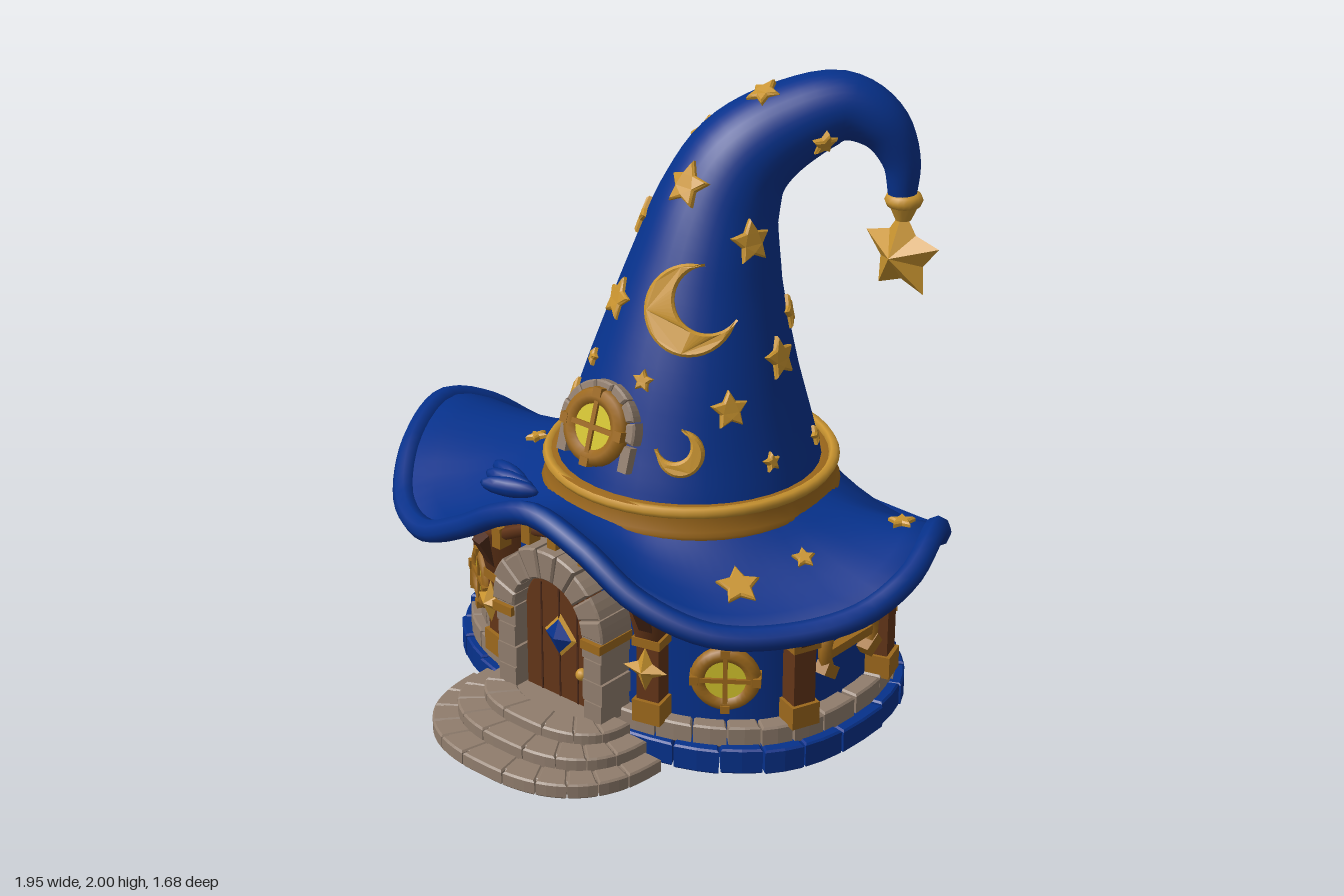
import * as THREE from 'three';

const mat = (name, color) => Object.assign(new THREE.MeshStandardMaterial({ color }), { name });
const M = {
  blue: mat('royal blue', 0x06318b), gold: mat('gold', 0xc8932f), bronze: mat('bronze', 0x9c681c),
  stone: mat('stone', 0x907d6d), wood: mat('wood', 0x633518), darkWood: mat('dark wood', 0x4c2918),
  glass: mat('yellow glass', 0xd2c22c), floor: mat('dark floor', 0x4c5059),
};
const V = (x, y, z) => new THREE.Vector3(x, y, z);
const D = Math.PI / 180;
let seed = 7;
const rnd = () => (seed = (seed * 16807) % 2147483647) / 2147483647;
const pow = (v, q) => Math.sign(v) * Math.abs(v) ** q;
const Q = 0.8; // squareness of the rounded ground plan

function add(parent, name, geo, material, x = 0, y = 0, z = 0) {
  const m = new THREE.Mesh(geo, material);
  m.name = name;
  m.position.set(x, y, z);
  parent.add(m);
  return m;
}
function group(parent, name) {
  const g = new THREE.Group();
  g.name = name;
  parent.add(g);
  return g;
}
const box = (w, h, d) => new THREE.BoxGeometry(w, h, d);

// Smooth skin over rows of points; every row is a closed ring
function loft(rows) {
  const n = rows[0].length, idx = [];
  for (let i = 0; i < rows.length - 1; i++) for (let j = 0; j < n; j++) {
    const k = (j + 1) % n, a = i * n + j, b = i * n + k;
    idx.push(a, b, a + n, b, b + n, a + n);
  }
  const g = new THREE.BufferGeometry().setFromPoints(rows.flat());
  g.setIndex(idx);
  g.computeVertexNormals();
  return g;
}
function extrude(shape, depth, bevel = 0.006) {
  return new THREE.ExtrudeGeometry(shape, { depth: depth - 2 * bevel, bevelSize: bevel, bevelThickness: bevel,
    bevelOffset: -bevel, bevelSegments: 1, curveSegments: 14 }).translate(0, 0, bevel);
}
// Piece of an elliptical ring in the XY plane
function sector(a0, a1, rx0, ry0, rx1, ry1, cx = 0, cy = 0, q = 1) {
  const out = [], inn = [], n = Math.max(2, Math.ceil((a1 - a0) / 0.12));
  for (let i = 0; i <= n; i++) {
    const a = a0 + (a1 - a0) * i / n, c = pow(Math.cos(a), q), s = pow(Math.sin(a), q);
    out.push(new THREE.Vector2(cx + rx1 * c, cy + ry1 * s));
    inn.unshift(new THREE.Vector2(cx + rx0 * c, cy + ry0 * s));
  }
  return new THREE.Shape([...out, ...inn]);
}
// The same piece lying flat; angles count from the front towards +x
const flatSector = (p0, p1, rx0, rz0, rx1, rz1, y, h, cx, cz) =>
  extrude(sector(p0 - Math.PI / 2, p1 - Math.PI / 2, rx0, rz0, rx1, rz1, cx, -cz, Q), h).rotateX(-Math.PI / 2).translate(0, y, 0);

function starOutline(n, R, r) {
  return Array.from({ length: 2 * n }, (_, i) => {
    const a = Math.PI / 2 + i * Math.PI / n, q = i % 2 ? r : R;
    return new THREE.Vector2(q * Math.cos(a), q * Math.sin(a));
  });
}
const flatStar = R => extrude(new THREE.Shape(starOutline(5, R, R * 0.54)), 0.036).translate(0, 0, -0.02);
function facetStar(n, R, r, h) {
  const o = starOutline(n, R, r), pts = [];
  o.forEach((p, i) => {
    const q = o[(i + 1) % o.length];
    pts.push(V(0, 0, h), V(p.x, p.y, 0), V(q.x, q.y, 0), V(0, 0, -h), V(q.x, q.y, 0), V(p.x, p.y, 0));
  });
  const g = new THREE.BufferGeometry().setFromPoints(pts);
  g.computeVertexNormals();
  return g;
}
function crescent(R, turn) {
  const s = new THREE.Shape(), a = 40.5 * D, b = 64.5 * D;
  s.absarc(0, 0, R, a, 2 * Math.PI - a, false);
  s.absarc(0.45 * R, 0, 0.72 * R, 2 * Math.PI - b, b, true);
  return extrude(s, 0.045, 0.008).rotateZ(turn).translate(0, 0, -0.018);
}
function bend(geo, R) {
  const p = geo.attributes.position;
  for (let i = 0; i < p.count; i++) p.setZ(i, p.getZ(i) - p.getX(i) ** 2 / (2 * R));
  geo.computeVertexNormals();
  return geo;
}
// Lays a decoration on a surface where a ray meets it
function stick(parent, name, geo, target, origin, dir) {
  const hit = new THREE.Raycaster(origin, dir).intersectObject(target)[0];
  if (!hit) return;
  const m = add(parent, name, geo, M.gold);
  m.position.copy(hit.point);
  m.lookAt(hit.point.clone().add(hit.face.normal));
}

// Brim edge and height rule
const C = V(0.06, 0, -0.08), R0 = 0.43;
const edge = new THREE.CatmullRomCurve3([
  [0, .78, .565], [.2, .73, .565], [.4, .62, .545], [.6, .54, .45], [.77, .53, .28], [.895, .57, .1], [.935, .64, -.07],
  [.87, .69, -.29], [.75, .56, -.48], [.57, .45, -.65], [.3, .39, -.755], [0, .37, -.805], [-.34, .37, -.735], [-.58, .385, -.59],
  [-.81, .5, -.33], [-.9, .63, -.16], [-.935, .69, 0], [-.85, .65, .24], [-.68, .56, .45], [-.5, .55, .54], [-.3, .64, .565],
  [-.15, .73, .567]].map(p => V(...p)), true);
const rim = edge.getPoints(500);
const angleOf = (x, z) => Math.atan2(x - C.x, z - C.z);
function rimAt(phi) {
  const off = p => Math.abs(Math.atan2(Math.sin(angleOf(p.x, p.z) - phi), Math.cos(angleOf(p.x, p.z) - phi)));
  return rim.reduce((best, p) => (off(p) < off(best) ? p : best));
}
function brimPoint(e, t) {
  const phi = angleOf(e.x, e.z), R = Math.hypot(e.x - C.x, e.z - C.z), r = R0 + (R - R0) * t;
  const y = 0.715 + (e.y - 0.715) * t - 0.025 * Math.sin(Math.PI * t);
  return V(C.x + r * Math.sin(phi), y, C.z + r * Math.cos(phi));
}
function brimY(x, z) {
  const e = rimAt(angleOf(x, z)), R = Math.hypot(e.x - C.x, e.z - C.z);
  const t = (Math.hypot(x - C.x, z - C.z) - R0) / (R - R0);
  return brimPoint(e, Math.min(1, Math.max(0, t))).y;
}

// House plan: a rounded oval, angle from the front towards +x
const HX = 0.025, HZ = -0.085;
const plan = (phi, rx, rz, y = 0) => V(HX + rx * pow(Math.sin(phi), Q), y, HZ + rz * pow(Math.cos(phi), Q));
function onWall(g, phi, y, out = 0) {
  g.position.copy(plan(phi, 0.665 + out, 0.495 + out, y));
  g.rotation.y = Math.atan2(pow(Math.sin(phi), 2 - Q) / 0.665, pow(Math.cos(phi), 2 - Q) / 0.495);
  return g;
}
function roundWindow(parent, name, r) {
  const g = group(parent, name);
  add(g, 'pane', new THREE.CylinderGeometry(r, r, 0.03, 24).rotateX(Math.PI / 2), M.glass);
  add(g, 'frame', new THREE.TorusGeometry(r, r * 0.31, 8, 28), M.bronze);
  add(g, 'upright bar', box(r * 0.17, r * 2, 0.02), M.bronze, 0, 0, 0.014);
  add(g, 'cross bar', box(r * 2, r * 0.17, 0.02), M.bronze, 0, 0, 0.014);
  for (let i = 0; i < 4; i++) add(g, 'stud', box(r * 0.3, r * 0.34, 0.06), M.bronze,
    r * 1.16 * Math.cos(i * Math.PI / 2), r * 1.16 * Math.sin(i * Math.PI / 2)).rotation.z = i * Math.PI / 2;
  return g;
}
function stoneArch(parent, n, r0, r1, a0, a1, depth, y) {
  for (let i = 0; i < n; i++) {
    const s = (a1 - a0) / n, k = r1 + (rnd() - 0.5) * 0.012;
    add(parent, 'arch stone', extrude(sector(a0 + s * i + 0.012, a0 + s * (i + 1) - 0.012, r0, r0, k, k), depth), M.stone, 0, y, 0);
  }
}

function buildHouse(root) {
  const house = group(root, 'house');
  const floor = Array.from({ length: 72 }, (_, i) => plan(i * 5 * D, 0.735, 0.545));
  add(house, 'underside', new THREE.ShapeGeometry(new THREE.Shape(floor.map(p => new THREE.Vector2(p.x, p.z)))).rotateX(Math.PI / 2), M.floor);
  // Two courses of foundation blocks
  for (const [name, n, m, rx, rz, y, h] of [['foundation block', 26, M.blue, .752, .557, .002, .078], ['foundation stone', 32, M.stone, .715, .535, .076, .066]])
    for (let i = 0; i < n; i++) {
      const a = i * 2 * Math.PI / n, k = rnd() * 0.016 - 0.008;
      add(house, name, flatSector(a + 0.005, a + 2 * Math.PI / n - 0.005, rx - .15, rz - .15, rx + k, rz + k, y, h + rnd() * .01, HX, HZ), m);
    }
  // Wall reaching up to the brim
  const rows = [0, 1].map(t => Array.from({ length: 72 }, (_, i) => {
    const p = plan(i * 5 * D, 0.66, 0.49);
    p.y = t ? brimY(p.x, p.z) - 0.01 : 0.07;
    return p;
  }));
  add(house, 'wall', loft(rows), M.blue);
  // Posts, ring beams and windows, mirrored left and right
  const angles = [22, 71, 107, 157];
  for (const s of [-1, 1]) {
    angles.forEach((a, i) => {
      const g = onWall(group(house, 'post'), s * a * D, 0, 0.015);
      const far = plan(s * a * D, 0.795, 0.625);
      const inner = brimY(g.position.x, g.position.z), top = Math.min(inner - 0.03, brimY(far.x, far.z) - 0.035);
      add(g, 'post foot', box(0.095, 0.075, 0.095), M.bronze, 0, 0.175, 0.01);
      add(g, 'post shaft', box(0.075, 0.2, 0.07), M.wood, 0, 0.31, 0.01);
      add(g, 'post collar', box(0.095, 0.03, 0.09), M.bronze, 0, 0.415, 0.012);
      const h = top - 0.42, head = new THREE.CylinderGeometry(0.085, 0.052, h, 4).rotateY(Math.PI / 4);
      add(g, 'post head', head, M.wood, 0, 0.42 + h / 2, 0.015);
      add(g, 'post neck', box(0.07, inner - 0.45, 0.05), M.wood, 0, (inner + 0.41) / 2, -0.02);
      const brace = add(g, 'brace', box(0.045, 0.13, 0.045), M.darkWood, 0, Math.min(0.51, top - 0.055), 0.06);
      brace.rotation.x = 0.5;
      if (i === 0) add(g, 'post star', facetStar(4, 0.075, 0.034, 0.03), M.gold, 0, 0.33, 0.06);
      const b = i < 3 ? angles[i + 1] : 180, p = [s * a * D, s * b * D].sort((u, v) => u - v);
      add(house, 'ring beam', flatSector(p[0], p[1], .64, .47, .695, .525, .49, .038, HX, HZ), M.wood);
    });
    for (const a of [s > 0 ? 45 : 42, 131]) onWall(roundWindow(house, 'round window', 0.083), s * a * D, 0.305, 0.012);
    // Side ornament: open arc with a cross bar
    const o = onWall(group(house, 'arc ornament'), s * 90 * D, 0.345, 0.02);
    add(o, 'arc', new THREE.TorusGeometry(0.118, 0.022, 6, 24, 230 * D).rotateZ(-25 * D), M.bronze);
    add(o, 'arc bar', box(0.22, 0.03, 0.03), M.bronze, 0, -0.01, 0);
    for (const e of [-1, 1]) add(o, 'arc end', box(0.065, 0.04, 0.045), M.bronze, e * 0.108, -0.065, 0).rotation.z = e * 0.6;
    // Stone buttress at the back
    for (let k = 0; k < 4; k++) onWall(add(house, 'buttress stone', box(0.1 - 0.01 * (k % 2), 0.085, 0.06), M.stone), s * 171 * D, 0.185 + k * 0.09, 0.01);
  }
  // Loose stones showing low on the wall
  for (let k = 0; k < 3; k++) onWall(add(house, 'wall stone', box(0.085, 0.05, 0.03), M.stone), (-43 + 5 * k) * D, 0.165 + 0.02 * (k % 2), 0.002);
  // Gable trim over the door
  const gable = new THREE.CatmullRomCurve3([V(-.42, .53, .4), V(-.26, .585, .46), V(-.1, .665, .48), V(.03, .695, .49), V(.16, .665, .48), V(.32, .58, .46), V(.47, .52, .38)]);
  add(house, 'gable beam', new THREE.TubeGeometry(gable, 24, 0.022, 6), M.wood);
  for (const t of [0.2, 0.35, 0.5, 0.65, 0.8]) add(house, 'gable bracket', box(0.035, 0.07, 0.05), M.bronze, ...gable.getPoint(t).add(V(0, -0.005, 0.005)));
}

function buildEntrance(root) {
  const e = group(root, 'entrance');
  [[.40, .38, .05], [.34, .29, .09], [.27, .2, .125]].forEach(([rx, rz, top], i) => {
    const n = 11 - 2 * i, s = Math.PI / n;
    add(e, 'step core', flatSector(-Math.PI / 2, Math.PI / 2, .001, .001, rx - .02, rz - .02, 0, top - .004, .025, .46), M.stone);
    for (let k = 0; k < n; k++) {
      const a = -Math.PI / 2 + k * s;
      add(e, 'step stone', flatSector(a + .005, a + s - .005, rx - .1, rz - .1, rx, rz, top - .05, .05, .025, .46), M.stone);
    }
  });
  const d = group(e, 'doorway');
  d.position.set(0.022, 0, 0.4);
  const s = new THREE.Shape();
  s.moveTo(-0.145, 0.11).lineTo(0.145, 0.11).lineTo(0.145, 0.405);
  s.absarc(0, 0.405, 0.145, 0, Math.PI, false);
  add(d, 'door', extrude(s, 0.08), M.wood);
  for (const x of [-0.075, 0, 0.075]) add(d, 'plank gap', box(0.006, 0.38, 0.006), M.darkWood, x, 0.31, 0.08);
  stoneArch(d, 9, 0.14, 0.235, 0, Math.PI, 0.14, 0.41);
  for (const x of [-1, 1]) {
    for (let k = 0; k < 4; k++) add(d, 'door jamb stone', box(0.07 + 0.01 * (k % 2), 0.07, 0.13), M.stone, x * 0.18, 0.15 + k * 0.074, 0.065);
    add(d, 'jamb capital', box(0.08, 0.03, 0.15), M.bronze, x * 0.185, 0.39, 0.07);
  }
  add(d, 'diamond frame', new THREE.OctahedronGeometry(0.075), M.gold, 0.005, 0.34, 0.08).scale.set(0.9, 1, 0.3);
  add(d, 'diamond', new THREE.OctahedronGeometry(0.06), M.blue, 0.005, 0.34, 0.09).scale.set(0.9, 1, 0.4);
  add(d, 'door knob', new THREE.SphereGeometry(0.02, 12, 8), M.gold, 0.1, 0.24, 0.09);
}

function buildHat(root) {
  const hat = group(root, 'hat');
  // Brim: underside outwards, then top inwards, with a rolled rim
  const es = Array.from({ length: 96 }, (_, i) => rimAt(i * 3.75 * D));
  const ts = [0, .2, .4, .6, .8, 1];
  const rows = [...ts.map(t => es.map(e => brimPoint(e, t).add(V(0, -0.025, 0)))),
    ...[...ts].reverse().map(t => es.map(e => brimPoint(e, t).add(V(0, 0.02, 0))))];
  const brim = add(hat, 'brim', loft(rows), M.blue);
  add(hat, 'brim rim', new THREE.TubeGeometry(edge, 120, 0.038, 8, true), M.blue);
  // Crooked cone: centre x, y, z and radius
  const path = [[.07, .68, -.075, .445], [.072, .85, -.08, .4], [.08, 1.1, -.09, .325], [.09, 1.4, -.125, .238], [.105, 1.6, -.17, .19],
    [.145, 1.735, -.23, .162], [.235, 1.835, -.335, .135], [.355, 1.89, -.45, .108], [.45, 1.84, -.515, .085], [.503, 1.73, -.55, .06], [.51, 1.6, -.555, .042]];
  const mid = new THREE.CatmullRomCurve3(path.map(p => V(p[0], p[1], p[2])));
  const rad = new THREE.CatmullRomCurve3(path.map(p => V(p[3], 0, 0)));
  const rings = Array.from({ length: 51 }, (_, i) => {
    const t = i / 50, c = mid.getPoint(t), T = mid.getTangent(t), r = rad.getPoint(t).x;
    const B = V(0.73, 0, 0.68).addScaledVector(T, -T.dot(V(0.73, 0, 0.68))).normalize(), N = T.clone().cross(B);
    return Array.from({ length: 36 }, (_, j) => c.clone().addScaledVector(B, r * Math.cos(j * 10 * D)).addScaledVector(N, r * Math.sin(j * 10 * D)));
  });
  const cone = add(hat, 'cone', loft(rings), M.blue);
  // Hat band
  const band = [[.42, -.06], [.465, -.06], [.472, -.04], [.462, -.03], [.455, .02], [.462, .03], [.46, .045], [.4, .045]];
  add(hat, 'hat band', new THREE.LatheGeometry(band.map(p => new THREE.Vector2(...p)), 48), M.bronze, .07, .75, -.085).rotation.x = -0.02;
  add(hat, 'band edge', new THREE.TorusGeometry(.45, .018, 6, 48).rotateX(Math.PI / 2), M.gold, .07, .788, -.085);
  // Stars and moons on the cone, aimed from each side
  const aim = {
    front: (u, y) => [V(u, y, 4), V(0, 0, -1)], back: (u, y) => [V(u, y, -4), V(0, 0, 1)],
    right: (u, y) => [V(4, y, u), V(-1, 0, 0)], left: (u, y) => [V(-4, y, u), V(1, 0, 0)],
  };
  const stars = {
    front: [[.11, 1.7, .075], [-.05, 1.33, .07], [.2, 1.945, .055], [.14, 1.145, .036], [-.19, .99, .052], [-.1, 1.14, .03]],
    right: [[-.095, 1.54, .072], [-.13, 1.175, .07], [.085, 1.07, .062], [-.265, 1.265, .056], [-.01, .89, .033], [-.27, .875, .033], [-.33, 1.81, .045]],
    left: [[-.04, 1.55, .062], [-.25, 1.77, .07]],
    back: [[.0, 1.14, .06], [.03, 1.42, .032]],
  };
  for (const side in stars) for (const [u, y, r] of stars[side])
    stick(hat, 'cone star', bend(flatStar(r), Math.max(0.12, 0.62 - 0.27 * y)), cone, ...aim[side](u, y));
  stick(hat, 'large moon', bend(crescent(.14, 32 * D), .27), cone, ...aim.front(.22, 1.36));
  stick(hat, 'small moon', bend(crescent(.072, 130 * D), .37), cone, ...aim.front(.288, .95));
  for (const [x, z, r] of [[-.4, -.5, .092], [-.5, -.24, .038], [-.46, .06, .038], [.775, -.25, .044], [.56, .27, .07], [.64, .06, .038]])
    stick(hat, 'brim star', flatStar(r), brim, V(x, 3, z), V(0, -1, 0));
  // Gathered folds beside the band
  for (let i = 0; i < 3; i++) {
    const f = add(hat, 'brim fold', new THREE.SphereGeometry(1, 12, 8), M.blue, -.26 - i * .03, .725, .4 - i * .035);
    f.scale.set(.1, .032, .028);
    f.rotation.y = .35 - i * .3;
  }
  // Dormer window
  const d = group(hat, 'dormer');
  d.position.set(0.022, 0.98, 0.28);
  d.rotation.x = -0.3;
  add(d, 'dormer drum', new THREE.CylinderGeometry(.11, .11, .1, 24).rotateX(Math.PI / 2), M.stone, 0, 0, -.04);
  const arch = group(d, 'dormer arch');
  arch.position.z = -0.07;
  stoneArch(arch, 7, 0.105, 0.147, -8 * D, 188 * D, 0.1, 0);
  for (const x of [-1, 1]) add(arch, 'dormer leg', box(0.035, 0.08, 0.09), M.stone, x * 0.125, -0.07, 0.045);
  roundWindow(d, 'dormer window', 0.094).position.z = 0.025;
  // Pendant
  const p = group(hat, 'pendant');
  p.position.set(.515, 0, -.556);
  add(p, 'tip collar', new THREE.TorusGeometry(.036, .024, 8, 20).rotateX(Math.PI / 2), M.gold, 0, 1.6, 0);
  add(p, 'tip cap', new THREE.CylinderGeometry(.052, .025, .06, 12), M.gold, 0, 1.565, 0);
  add(p, 'hanging star', facetStar(5, .145, .085, .07), M.gold, 0, 1.425, 0);
}

export function createModel() {
  const root = new THREE.Group();
  root.name = 'hat cottage';
  seed = 7;
  buildHouse(root);
  buildEntrance(root);
  buildHat(root);
  return root;
}
